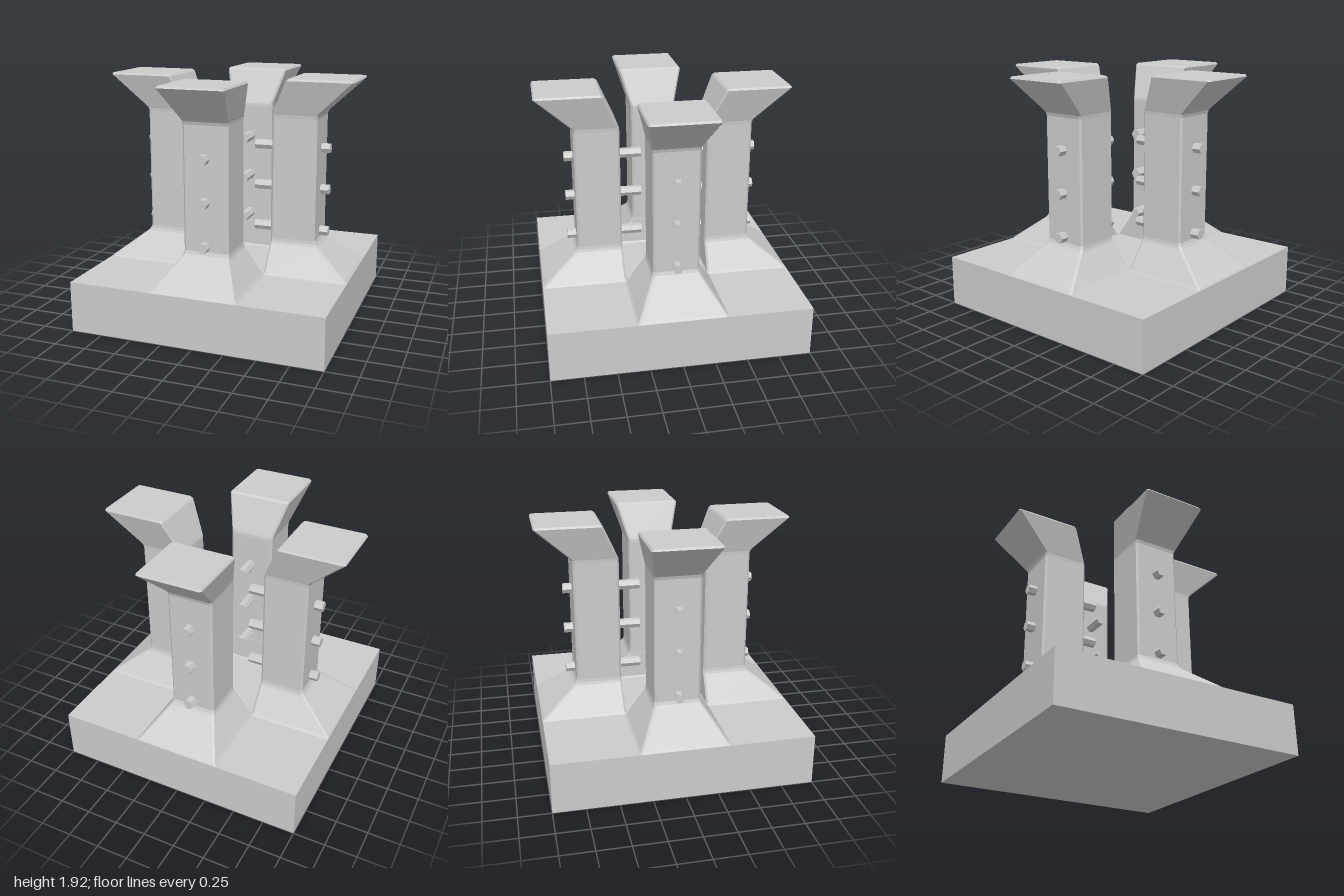
import * as THREE from 'three';

const material = new THREE.MeshStandardMaterial({ color: 0xcccccc, flatShading: true });

// Chamfered rectangle at height y: z from inner to outer, x from -half to half
function section([y, inner, outer, half, c]) {
  return [
    [half, inner + c], [half, outer - c], [half - c, outer], [c - half, outer],
    [-half, outer - c], [-half, inner + c], [c - half, inner], [half - c, inner],
  ].map(([x, z]) => [x, y, z]);
}

// Skin consecutive sections and close the top
function loft(sections) {
  const n = 8, index = [];
  for (let r = 0; r < sections.length - 1; r++) {
    for (let i = 0; i < n; i++) {
      const a = r * n + i, b = r * n + (i + 1) % n;
      index.push(a, a + n, b, b, a + n, b + n);
    }
  }
  const top = (sections.length - 1) * n;
  for (let i = 1; i < n - 1; i++) index.push(top, top + i + 1, top + i);
  const geometry = new THREE.BufferGeometry();
  geometry.setAttribute('position', new THREE.Float32BufferAttribute(sections.map(section).flat(2), 3));
  geometry.setIndex(index);
  const flat = geometry.toNonIndexed();
  flat.computeVertexNormals();
  return flat;
}

function add(parent, name, geometry) {
  const mesh = new THREE.Mesh(geometry, material);
  mesh.name = name;
  parent.add(mesh);
  return mesh;
}

export function createModel() {
  const model = new THREE.Group();
  model.name = 'pillarMonument';

  // Square plinth
  add(model, 'base', new THREE.BoxGeometry(2, 0.4, 2)).position.y = 0.2;

  // Pillar with spread foot and flared head: y, inner z, outer z, half width, chamfer
  const pillarGeometry = loft([
    [0.40, 0.325, 1.0, 0.345, 0.015],
    [0.415, 0.335, 0.985, 0.33, 0.015],
    [0.615, 0.34, 0.725, 0.19, 0.015],
    [0.635, 0.342, 0.71, 0.182, 0.015],
    [0.66, 0.342, 0.70, 0.178, 0.015],
    [1.62, 0.345, 0.70, 0.178, 0.015],
    [1.645, 0.348, 0.708, 0.18, 0.015],
    [1.665, 0.356, 0.725, 0.186, 0.015],
    [1.91, 0.468, 0.985, 0.255, 0.015],
    [1.925, 0.485, 0.975, 0.245, 0.01],
  ]);

  // Hexagonal rod running through a pillar along z
  const rodGeometry = new THREE.CylinderGeometry(0.04, 0.04, 0.61, 6);
  rodGeometry.rotateY(Math.PI / 2).rotateX(Math.PI / 2);
  // Corners of the hexagon point sideways

  ['front', 'left', 'back', 'right'].forEach((side, i) => {
    const arm = new THREE.Group();
    arm.name = side + 'Arm';
    arm.rotation.y = i * Math.PI / 2;
    add(arm, side + 'Pillar', pillarGeometry);
    [0.705, 1.045, 1.375].forEach((y, k) => {
      add(arm, side + 'Rod' + (k + 1), rodGeometry).position.set(0, y, 0.465);
    });
    model.add(arm);
  });
  return model;
}
